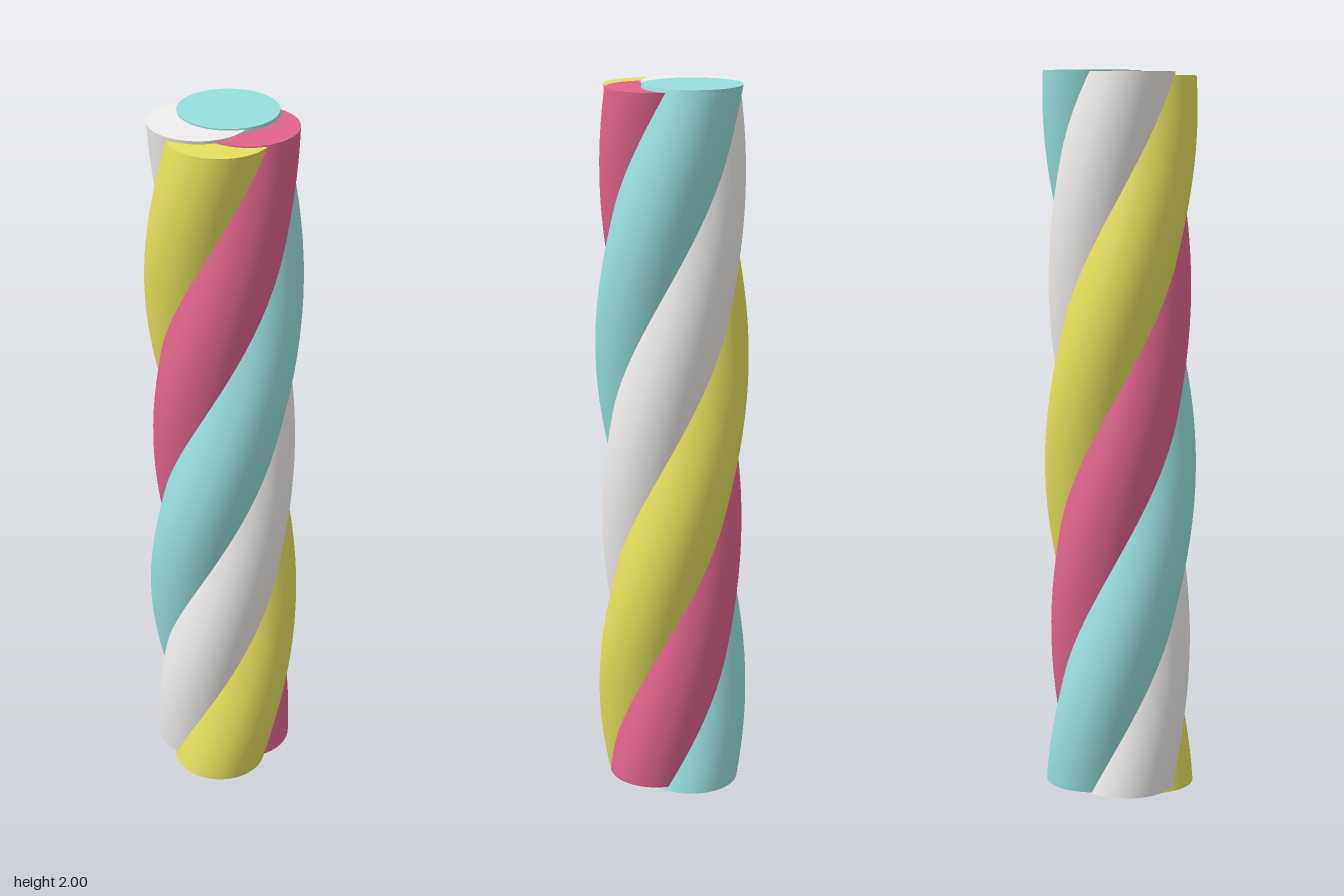
import * as THREE from 'three';

// A round column sheared along a helix: every level is a circle, shifted around the y axis.
function strand(name, color, radius, offset, bottom, top, phase) {
  const height = top - bottom;
  const rate = (Math.PI * 2) / height; // one full turn
  const geo = new THREE.CylinderGeometry(radius, radius, height, 48, 40);
  geo.translate(0, height / 2, 0);
  const pos = geo.attributes.position;
  const nor = geo.attributes.normal;
  const n = new THREE.Vector3();
  for (let i = 0; i < pos.count; i++) {
    const y = pos.getY(i);
    const a = phase + rate * y;
    pos.setXYZ(i, pos.getX(i) + offset * Math.sin(a), y + bottom, pos.getZ(i) + offset * Math.cos(a));
    n.fromBufferAttribute(nor, i);
    // Tilt the wall normals to follow the slope of the helix; the caps stay flat
    if (Math.abs(n.y) < 0.5) {
      n.y = -offset * rate * (Math.cos(a) * n.x - Math.sin(a) * n.z);
      n.normalize();
      nor.setXYZ(i, n.x, n.y, n.z);
    }
  }
  const mesh = new THREE.Mesh(geo, new THREE.MeshStandardMaterial({ color }));
  mesh.name = name;
  return mesh;
}

export function createModel() {
  const group = new THREE.Group();
  group.name = 'twistedCandle';
  const q = Math.PI / 2;
  // Phase 0 starts at the front, q at +x, 2q at the back, 3q at -x
  group.add(
    strand('yellowStrand', 0xe3e05c, 0.133, 0.077, 0, 1.987, 0),
    strand('pinkStrand', 0xe0648c, 0.132, 0.063, 0.03, 1.991, q),
    strand('tealStrand', 0x98e0dc, 0.133, 0.078, 0.018, 2, 2 * q),
    strand('whiteStrand', 0xf0eeec, 0.132, 0.065, 0.015, 1.996, 3 * q),
  );
  return group;
}
